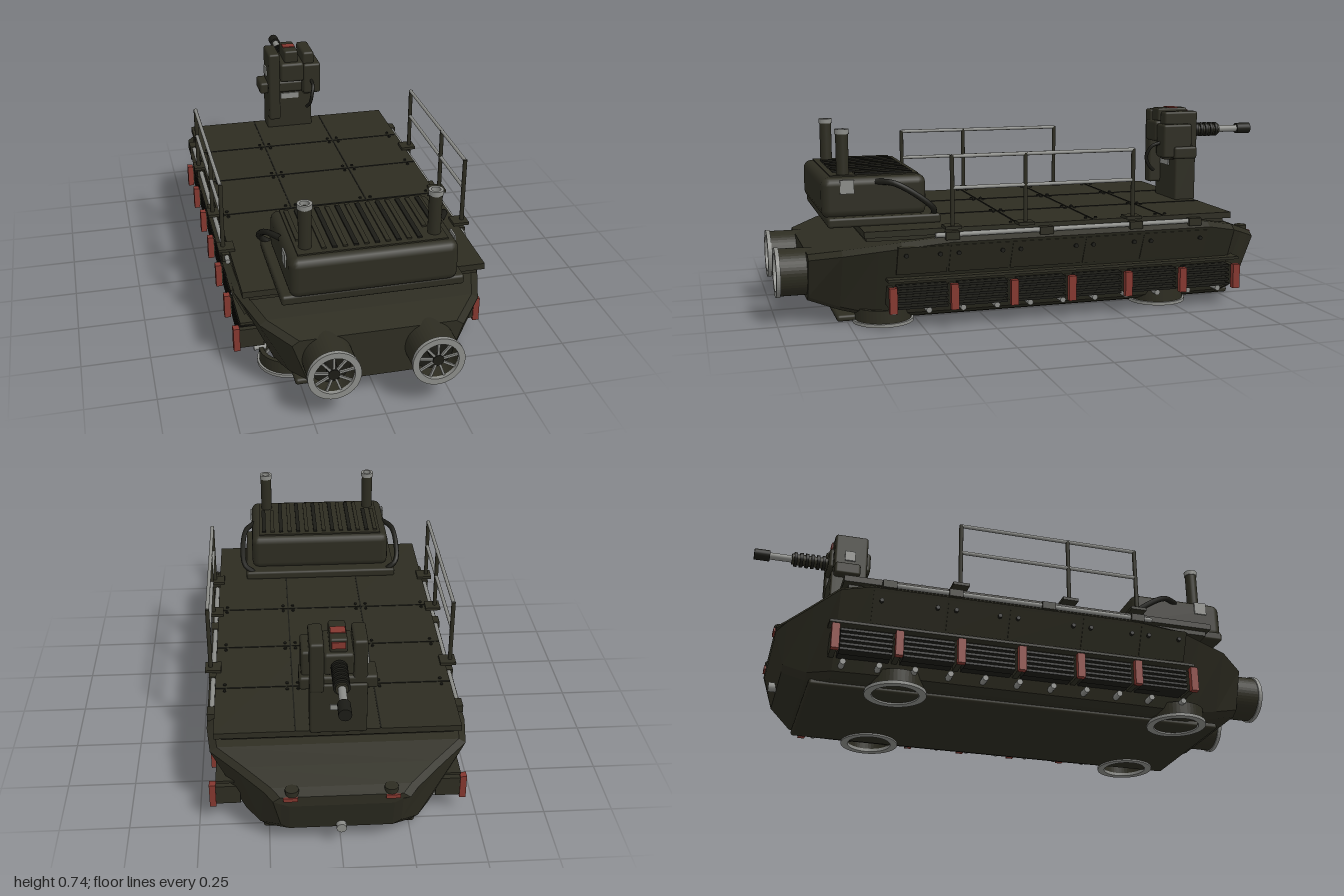
import * as THREE from 'three';
import { RoundedBoxGeometry } from 'three/addons/geometries/RoundedBoxGeometry.js';

const mat = (name, color, extra = {}) => {
  const m = new THREE.MeshStandardMaterial({ color, ...extra });
  m.name = name;
  return m;
};

export function createModel() {
  const root = new THREE.Group();
  root.name = 'amphibiousCarrier';
  const olive = mat('olive', 0x2d2c21);
  const hullPaint = mat('hullOlive', 0x2d2c21, { flatShading: true });
  const dark = mat('darkRubber', 0x1b1b16);
  const grey = mat('steelGrey', 0x8b8c88);
  const red = mat('signalRed', 0x84372f);

  const add = (name, geo, m, x = 0, y = 0, z = 0) => {
    const mesh = new THREE.Mesh(geo, m);
    mesh.name = name;
    mesh.position.set(x, y, z);
    root.add(mesh);
    return mesh;
  };
  // box given by its limits
  const box = (name, m, x0, x1, y0, y1, z0, z1, r = 0) => {
    const w = Math.abs(x1 - x0), h = y1 - y0, d = Math.abs(z1 - z0);
    const g = r ? new RoundedBoxGeometry(w, h, d, 2, r) : new THREE.BoxGeometry(w, h, d);
    return add(name, g, m, (x0 + x1) / 2, (y0 + y1) / 2, (z0 + z1) / 2);
  };
  // cylinder along an axis
  const cyl = (name, m, r, len, axis, x, y, z, seg = 20, r2 = r) => {
    const g = new THREE.CylinderGeometry(r2, r, len, seg);
    if (axis === 'z') g.rotateX(Math.PI / 2);
    if (axis === 'x') g.rotateZ(Math.PI / 2);
    return add(name, g, m, x, y, z);
  };
  const tube = (name, m, pts, r) => add(name, new THREE.TubeGeometry(
    new THREE.CatmullRomCurve3(pts.map(p => new THREE.Vector3(...p))), 20, r, 8), m);
  // flat ring with thickness, lying in the xy plane
  const ring = (ro, ri, t) => {
    const s = new THREE.Shape().absarc(0, 0, ro, 0, Math.PI * 2, false);
    s.holes.push(new THREE.Path().absarc(0, 0, ri, 0, Math.PI * 2, true));
    return new THREE.ExtrudeGeometry(s, { depth: t, bevelEnabled: false, curveSegments: 24 });
  };
  const sides = [1, -1];

  // hull lofted through stations: z, bottom y, bottom half width, top y, top half width
  const stations = [
    [0.89, 0.085, 0.25, 0.265, 0.30], [0.78, 0.05, 0.29, 0.29, 0.39], [0.66, 0.022, 0.32, 0.308, 0.43],
    [0.58, 0.02, 0.33, 0.32, 0.455], [0.40, 0.02, 0.335, 0.335, 0.463], [-0.60, 0.02, 0.335, 0.335, 0.463],
    [-0.71, 0.02, 0.33, 0.315, 0.45], [-0.79, 0.025, 0.28, 0.285, 0.355], [-0.87, 0.075, 0.21, 0.255, 0.265],
    [-0.905, 0.20, 0.21, 0.24, 0.235],
  ];
  const rings = stations.map(([z, yb, b, yt, t]) => {
    const half = [[b - 0.03, yb], [b, yb + 0.018], [t, yt - 0.018], [t - 0.025, yt]];
    return [...half, ...half.slice().reverse().map(([x, y]) => [-x, y])].map(([x, y]) => [x, y, z]);
  });
  const v = [];
  const n = rings[0].length;
  for (let i = 0; i < rings.length - 1; i++) for (let j = 0; j < n; j++) {
    const k = (j + 1) % n, a = rings[i][j], b = rings[i][k], c = rings[i + 1][k], d = rings[i + 1][j];
    v.push(...a, ...d, ...c, ...a, ...c, ...b);
  }
  const last = rings[rings.length - 1];
  for (let j = 1; j < n - 1; j++) {
    v.push(...rings[0][0], ...rings[0][j], ...rings[0][j + 1]);
    v.push(...last[0], ...last[j + 1], ...last[j]);
  }
  const hull = new THREE.BufferGeometry();
  hull.setAttribute('position', new THREE.Float32BufferAttribute(v, 3));
  hull.computeVertexNormals();
  add('hull', hull, hullPaint);
  box('bellyPlate', olive, -0.27, 0.27, 0.006, 0.03, -0.78, 0.79, 0.01);

  // deck with seams and bolts
  box('deckUnderlay', olive, -0.41, 0.41, 0.325, 0.342, -0.68, 0.70);
  box('deck', olive, -0.435, 0.435, 0.342, 0.365, -0.70, 0.71);
  for (const z of [-0.42, -0.14, 0.15]) box('deckSeam', dark, -0.435, 0.435, 0.364, 0.367, z - 0.003, z + 0.003);
  for (const x of [-0.15, 0.15]) box('deckSeam', dark, x - 0.0025, x + 0.0025, 0.364, 0.367, -0.70, 0.41);
  for (const z of [-0.44, -0.40, -0.16, -0.12, 0.13, 0.17])
    for (const x of [-0.40, -0.17, -0.13, 0.13, 0.17, 0.40]) cyl('deckBolt', dark, 0.006, 0.006, 'y', x, 0.367, z, 8);

  for (const s of sides) {
    // sloped upper side panels
    const edges = [0.60, 0.41, 0.18, -0.10, -0.33, -0.60];
    for (let i = 0; i < 5; i++) {
      const len = edges[i] - edges[i + 1] - 0.008;
      const p = add('sidePanel', new THREE.BoxGeometry(0.01, 0.115, len), olive,
        s * 0.432, 0.255, (edges[i] + edges[i + 1]) / 2);
      p.rotation.z = -s * 0.41;
      for (const e of [-1, 1]) cyl('panelBolt', dark, 0.008, 0.02, 'x', s * 0.446, 0.275, p.position.z + e * (len / 2 - 0.03), 8);
    }
    // grab tube along the deck edge
    cyl('edgeTube', grey, 0.009, 1.02, 'z', s * 0.446, 0.342, -0.05, 10);
    for (const z of [0.40, 0.05, -0.30, -0.54]) box('tubeClamp', olive, s * 0.43, s * 0.462, 0.325, 0.353, z - 0.025, z + 0.025);

    // louvre bays between red posts
    const posts = [0.615, 0.393, 0.17, -0.052, -0.275, -0.497, -0.72];
    box('bayLedge', olive, s * 0.37, s * 0.435, 0.178, 0.188, -0.74, 0.63);
    posts.forEach((z, i) => {
      box('redPost', red, s * 0.437, s * 0.46, 0.07, 0.163, z - 0.014, z + 0.014);
      box('postBracket', olive, s * 0.35, s * 0.437, 0.08, 0.155, z - 0.01, z + 0.01);
      if (i === 6) return;
      const z1 = z - 0.02, z0 = posts[i + 1] + 0.02;
      box('bayBack', dark, s * 0.35, s * 0.40, 0.08, 0.16, z0, z1);
      for (let k = 0; k < 5; k++) box('louvre', dark, s * 0.39, s * 0.434, 0.078 + k * 0.018, 0.087 + k * 0.018, z0, z1);
    });
    for (let i = 0; i < 11; i++) cyl('sideStud', grey, 0.011, 0.045, 'x', s * 0.362, 0.056, 0.60 - i * 0.128, 10);

    // belly rings
    for (const z of [0.62, -0.47]) {
      const r = add('bellyRing', ring(0.112, 0.085, 0.012), grey, s * 0.263, 0.012, z);
      r.rotation.x = Math.PI / 2;
      const c = add('bellyRingCollar', ring(0.104, 0.088, 0.05), olive, s * 0.263, 0.06, z);
      c.rotation.x = Math.PI / 2;
    }

    // propulsion duct with spoked guard
    const duct = add('duct', ring(0.087, 0.072, 0.14), olive, s * 0.18, 0.185, 0.85);
    duct.material = olive;
    cyl('ductBack', dark, 0.073, 0.02, 'z', s * 0.18, 0.185, 0.92, 24);
    add('ductRim', ring(0.092, 0.07, 0.015), grey, s * 0.18, 0.185, 0.985);
    cyl('ductHub', dark, 0.02, 0.07, 'z', s * 0.18, 0.185, 0.957, 16);
    for (let i = 0; i < 9; i++) {
      const a = Math.PI / 2 + i * Math.PI * 2 / 9;
      const sp = add('ductSpoke', new THREE.BoxGeometry(0.058, 0.008, 0.008), grey,
        s * 0.18 + Math.cos(a) * 0.046, 0.185 + Math.sin(a) * 0.046, 0.985);
      sp.rotation.z = a;
    }

    // railing
    const x = s * 0.455;
    for (const z of [0.40, 0.13, -0.285]) {
      cyl('railPost', olive, 0.008, 0.255, 'y', x, 0.4975, z, 10);
      box('railFoot', olive, s * 0.415, s * 0.475, 0.365, 0.376, z - 0.03, z + 0.03);
    }
    for (const y of [0.51, 0.622]) cyl('handRail', grey, 0.007, 0.69, 'z', x, y, 0.0575, 10);

    // exhaust stack and hose on the engine housing
    cyl('exhaustStack', olive, 0.023, 0.16, 'y', s * 0.225, 0.61, 0.75);
    const cap = add('exhaustCap', ring(0.026, 0.016, 0.018), grey, s * 0.225, 0.706, 0.75);
    cap.rotation.x = Math.PI / 2;
    tube('hose', dark, [[s * 0.285, 0.52, 0.64], [s * 0.32, 0.515, 0.58], [s * 0.333, 0.47, 0.50],
      [s * 0.325, 0.42, 0.44], [s * 0.29, 0.39, 0.43]], 0.011);
    box('housingBadgePlate', grey, s * 0.292, s * 0.298, 0.48, 0.53, 0.72, 0.77);

    // rear marker lights
    box('rearLight', red, s * 0.15, s * 0.20, 0.225, 0.24, -0.912, -0.90);
    cyl('rearBump', olive, 0.024, 0.02, 'y', s * 0.17, 0.25, -0.885, 12);
  }
  cyl('rearHook', grey, 0.018, 0.03, 'z', 0, 0.09, -0.885, 12);

  // engine housing
  box('housingBase', olive, -0.32, 0.32, 0.362, 0.398, 0.41, 0.82, 0.01);
  box('housing', olive, -0.293, 0.293, 0.39, 0.538, 0.455, 0.835, 0.03);
  box('housingLid', olive, -0.26, 0.26, 0.535, 0.543, 0.48, 0.80);
  for (let i = 0; i < 14; i++) {
    const x = -0.24 + i * 0.48 / 13;
    box('lidSlat', i % 2 ? dark : olive, x - 0.008, x + 0.008, 0.54, 0.549, 0.50, Math.abs(x) > 0.19 ? 0.71 : 0.78);
  }

  // weapon station
  box('stationPlinth', olive, -0.10, 0.10, 0.36, 0.56, -0.71, -0.62, 0.008);
  box('stationBase', olive, -0.135, 0.135, 0.535, 0.585, -0.70, -0.60, 0.01);
  box('leftCheek', olive, 0.05, 0.10, 0.53, 0.725, -0.715, -0.57, 0.01);
  box('rightCheek', olive, -0.10, -0.05, 0.42, 0.725, -0.70, -0.57, 0.01);
  box('ammoBox', olive, 0.05, 0.127, 0.54, 0.675, -0.68, -0.555, 0.01);
  box('cradle', olive, -0.052, 0.052, 0.60, 0.685, -0.715, -0.55, 0.012);
  box('sight', olive, -0.03, 0.03, 0.68, 0.735, -0.70, -0.57, 0.008);
  box('sightCover', red, -0.026, 0.026, 0.732, 0.738, -0.66, -0.62);
  box('sightWindow', red, -0.024, 0.024, 0.70, 0.725, -0.705, -0.698);
  box('sideSensor', grey, -0.107, -0.098, 0.61, 0.65, -0.66, -0.62);
  box('rearPlate', grey, -0.03, 0.03, 0.46, 0.48, -0.714, -0.708);
  box('frontPlate', grey, -0.04, 0.04, 0.50, 0.525, -0.622, -0.614);
  tube('feedCable', dark, [[0.085, 0.60, -0.56], [0.085, 0.585, -0.52], [0.075, 0.545, -0.502],
    [0.07, 0.51, -0.515], [0.06, 0.485, -0.54]], 0.007);
  cyl('barrelJacket', olive, 0.022, 0.15, 'z', 0, 0.64, -0.78);
  for (let i = 0; i < 6; i++) cyl('jacketRing', dark, 0.029, 0.012, 'z', 0, 0.64, -0.73 - i * 0.022);
  cyl('barrel', grey, 0.014, 0.11, 'z', 0, 0.64, -0.895);
  cyl('muzzle', dark, 0.022, 0.06, 'z', 0, 0.64, -0.97);
  return root;
}
